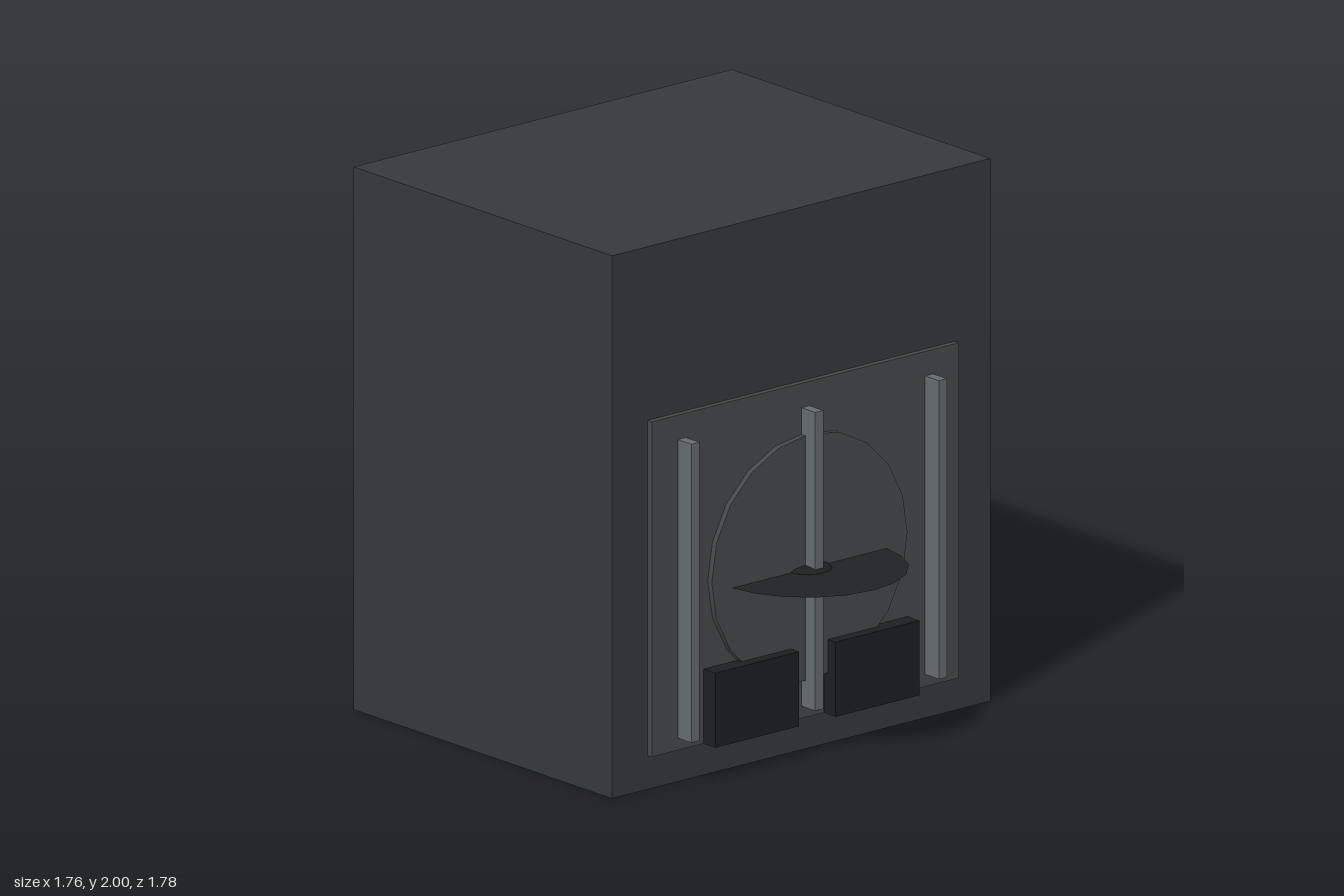
import * as THREE from 'three';

const mat = (color, side = THREE.FrontSide) => new THREE.MeshStandardMaterial({ color, side });

export function createModel() {
  const group = new THREE.Group();
  const bodyMat = mat(0x33393d);
  const panelMat = mat(0x45494c);
  const barMat = mat(0x636c6e);
  const darkMat = mat(0x1a1f22);

  const add = (name, geometry, material, x, y, z) => {
    const mesh = new THREE.Mesh(geometry, material);
    mesh.name = name;
    mesh.position.set(x, y, z);
    group.add(mesh);
    return mesh;
  };
  // Box given by its lower and upper corners
  const box = (name, material, x0, x1, y0, y1, z0, z1) =>
    add(name, new THREE.BoxGeometry(x1 - x0, y1 - y0, z1 - z0), material,
      (x0 + x1) / 2, (y0 + y1) / 2, (z0 + z1) / 2);

  // Main housing and raised front panel
  box('housing', bodyMat, -0.88, 0.88, 0, 2, -0.89, 0.5);
  box('frontPanel', panelMat, -0.715, 0.715, 0.125, 1.36, 0.5, 0.523);

  // Round plate on the panel
  const plate = new THREE.CylinderGeometry(0.455, 0.455, 0.022, 20).rotateX(Math.PI / 2);
  add('roundPlate', plate, panelMat, 0, 0.72, 0.534);

  // Upright bars
  for (const x of [-0.575, 0, 0.575]) {
    box('uprightBar', barMat, x - 0.019, x + 0.019, 0.17, 1.27, 0.523, 0.597);
  }

  // Low blocks at the foot of the panel
  for (const side of [-1, 1]) {
    const x = side * 0.28;
    box('footBlock', darkMat, x - 0.195, x + 0.195, 0.125, 0.4, 0.523, 0.587);
  }

  // Flat horizontal disc standing out of the panel, with a small flattened hub
  const disc = new THREE.CircleGeometry(0.36, 20).rotateX(-Math.PI / 2);
  add('flatDisc', disc, mat(0x1f2325, THREE.DoubleSide), 0, 0.68, 0.53);
  const hub = new THREE.SphereGeometry(0.088, 20, 12).scale(1, 0.18, 1);
  add('hub', hub, darkMat, 0, 0.68, 0.532);

  return group;
}
